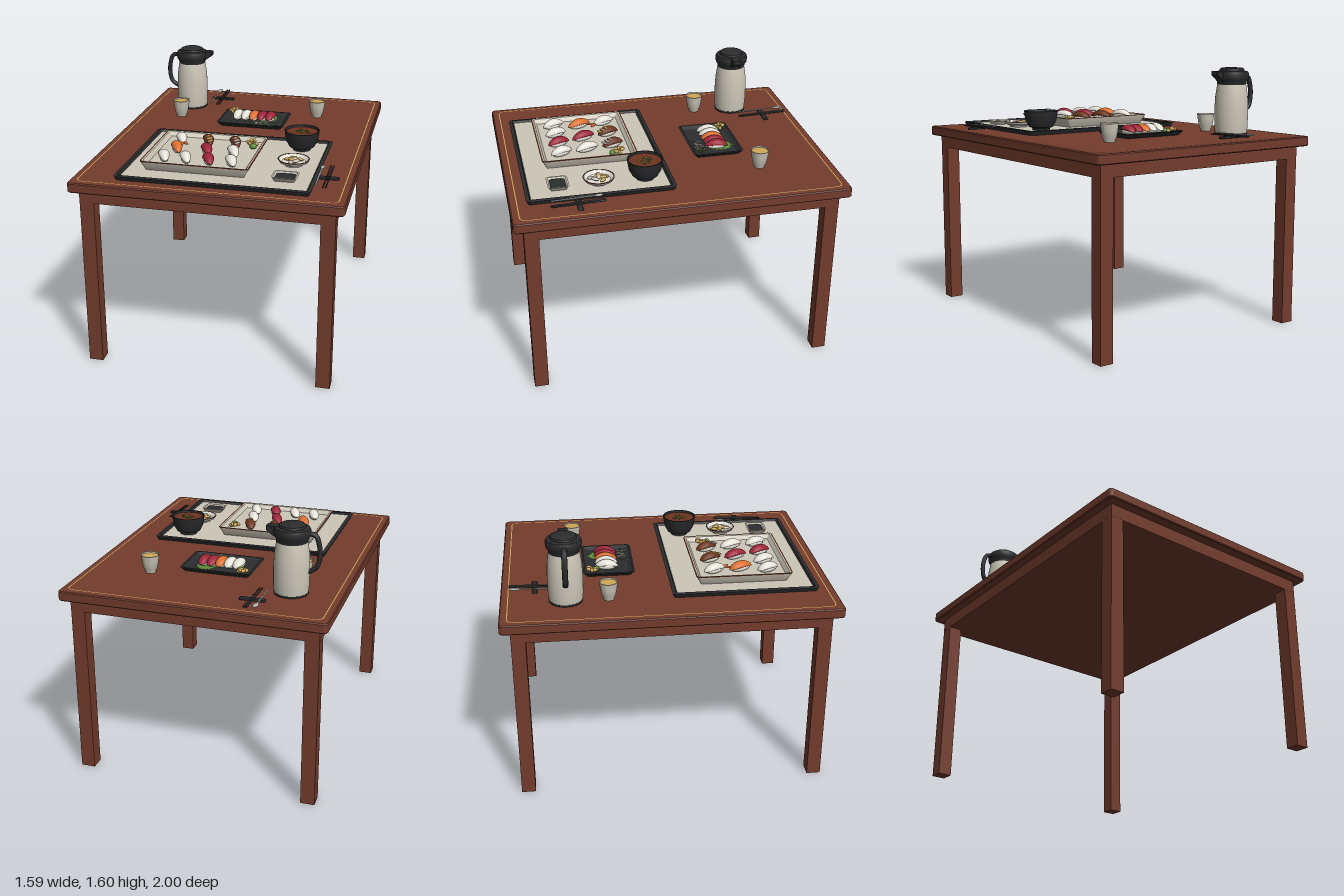
import * as THREE from 'three';
import { toCreasedNormals } from 'three/addons/utils/BufferGeometryUtils.js';
import { RoundedBoxGeometry } from 'three/addons/geometries/RoundedBoxGeometry.js';

const material = (name, color) => {
  const m = new THREE.MeshStandardMaterial({ color, side: THREE.DoubleSide });
  m.name = name;
  return m;
};
const wood = material('wood', 0x733c2d), black = material('black', 0x2b2c2e);
const cream = material('cream', 0xcdc7b8), white = material('white', 0xe4e1d8);
const orange = material('orange', 0xdc7030), red = material('red', 0x9c2438);
const brown = material('brown', 0x6e3520), gold = material('gold', 0xcfa858);
const green = material('green', 0x5c8c38), silver = material('silver', 0xb4b4b4);

const TOP = 1.185; // table surface height

function add(parent, name, geo, mat, x = 0, y = 0, z = 0, ry = 0) {
  const mesh = new THREE.Mesh(geo, mat);
  mesh.name = name;
  mesh.position.set(x, y, z);
  mesh.rotation.y = ry;
  parent.add(mesh);
  return mesh;
}
function group(parent, name, x = 0, y = 0, z = 0, ry = 0) {
  const g = new THREE.Group();
  g.name = name;
  g.position.set(x, y, z);
  g.rotation.y = ry;
  parent.add(g);
  return g;
}
const lathe = (pts, seg = 40) =>
  toCreasedNormals(new THREE.LatheGeometry(pts.map(p => new THREE.Vector2(...p)), seg), 0.6);
const ball = (w, h, d) => new THREE.SphereGeometry(0.5, 16, 10).scale(w, h, d);

// Rounded rectangles stacked along a profile of [inset, height] pairs
function loft(w, d, r, profile, caps = true) {
  const pos = [], idx = [], n = 24;
  for (const [inset, y] of profile) {
    const rr = Math.max(r - inset, 0.003), hx = w / 2 - inset - rr, hz = d / 2 - inset - rr;
    for (let j = 0; j < n; j++) {
      const q = Math.floor(j / 6), a = (q + (j % 6) / 5) * Math.PI / 2;
      const sx = q === 0 || q === 3 ? 1 : -1, sz = q < 2 ? -1 : 1;
      pos.push(sx * hx + rr * Math.cos(a), y, sz * hz - rr * Math.sin(a));
    }
  }
  const last = (profile.length - 1) * n;
  for (let o = 0; o < last; o += n) for (let j = 0; j < n; j++) {
    const k = (j + 1) % n;
    idx.push(o + j, o + k, o + n + k, o + j, o + n + k, o + n + j);
  }
  if (caps) {
    const c = pos.length / 3;
    pos.push(0, profile[0][1], 0, 0, profile.at(-1)[1], 0);
    for (let j = 0; j < n; j++) {
      const k = (j + 1) % n;
      idx.push(c, k, j, c + 1, last + j, last + k);
    }
  }
  const geo = new THREE.BufferGeometry();
  geo.setAttribute('position', new THREE.Float32BufferAttribute(pos, 3));
  geo.setIndex(idx);
  return toCreasedNormals(geo, 0.5);
}

// Arched slice that droops at both ends and tapers towards one
function topping(w, h, l) {
  const geo = new THREE.SphereGeometry(1, 20, 12), p = geo.attributes.position;
  for (let i = 0; i < p.count; i++) {
    const x = p.getX(i), y = p.getY(i), z = p.getZ(i);
    p.setXYZ(i, x * w / 2 * (1 - 0.15 * z), (y > 0 ? y : y * 0.3) * h - 0.016 * z * z, z * l / 2);
  }
  geo.computeVertexNormals();
  return geo;
}
function nigiri(parent, x, z, ry, mat, l = 0.15) {
  const g = group(parent, 'sushi', x, 0, z, ry);
  add(g, 'rice', ball(0.055, 0.045, l * 0.85), white, 0, 0.018, 0);
  add(g, 'topping', topping(0.066, 0.028, l), mat, 0, 0.033, 0);
  return g;
}
// Pickled ginger with a dab of wasabi
function garnish(parent, x, z, dx, dz) {
  const g = group(parent, 'garnish', x, 0, z);
  for (let i = 0; i < 6; i++) {
    const a = i * 1.05;
    add(g, 'ginger', ball(0.034, 0.025, 0.02), gold, 0.022 * Math.cos(a), 0.015 + 0.003 * i, 0.022 * Math.sin(a), a);
  }
  add(g, 'wasabi', ball(0.045, 0.035, 0.035), green, dx, 0.014, dz);
}
function cup(parent, x, z) {
  const g = group(parent, 'teaCup', x, TOP, z);
  add(g, 'cup', lathe([[0, 0], [0.032, 0], [0.034, 0.012], [0.043, 0.03], [0.05, 0.07], [0.056, 0.112],
    [0.051, 0.112], [0.048, 0.095]]), cream);
  add(g, 'tea', new THREE.CylinderGeometry(0.05, 0.05, 0.004, 32), gold, 0, 0.102, 0);
}
function cutlery(parent, x, z, restW, spoonX, spoonS) {
  const g = group(parent, 'cutlerySet', x, TOP, z);
  add(g, 'rest', new RoundedBoxGeometry(restW, 0.014, 0.032, 2, 0.005), black, 0.002, 0.007, 0);
  for (const s of [-1, 1]) {
    const stick = add(g, 'chopstick', new THREE.CylinderGeometry(0.006, 0.004, 0.32, 8).rotateX(-Math.PI / 2), black, s * 0.008, 0.017, 0.005);
    stick.rotation.x = 0.03;
  }
  const spoon = group(g, 'spoon', spoonX, 0.022, 0);
  spoon.rotation.x = 0.03;
  add(spoon, 'spoonBowl', ball(0.03 * spoonS, 0.012, 0.065 * spoonS), silver, 0, 0, -0.12);
  add(spoon, 'spoonHandle', new RoundedBoxGeometry(0.009, 0.006, 0.26, 1, 0.002), silver, 0, 0, 0.03);
}

function buildTable(root) {
  const t = group(root, 'table');
  add(t, 'tableTop', loft(1.594, 2, 0.025, [[0.006, 1.125], [0, 1.131], [0, 1.179], [0.006, TOP]]), wood);
  add(t, 'apron', new THREE.BoxGeometry(1.49, 0.08, 1.88), wood, 0, 1.085, 0);
  for (const x of [-1, 1]) for (const z of [-1, 1])
    add(t, 'leg', new THREE.BoxGeometry(0.085, 1.05, 0.085), wood, x * 0.702, 0.525, z * 0.897);
  add(t, 'inlayLine', loft(1.518, 1.914, 0.04, [[0, TOP + 0.001], [0.006, TOP + 0.001]], false), gold);
}

function buildFlask(root) {
  const f = group(root, 'flask', -0.495, TOP, -0.612);
  add(f, 'base', new THREE.CylinderGeometry(0.102, 0.1, 0.012, 40), black, 0, 0.006, 0);
  add(f, 'body', lathe([[0, 0.012], [0.1, 0.012], [0.104, 0.05], [0.105, 0.16], [0.101, 0.24], [0.092, 0.3], [0.088, 0.32], [0, 0.32]]), cream);
  add(f, 'lid', lathe([[0, 0.312], [0.09, 0.312], [0.092, 0.33], [0.103, 0.345], [0.107, 0.375], [0.1, 0.392],
    [0.078, 0.397], [0.074, 0.41], [0.062, 0.416], [0, 0.418]]), black);
  // Spout: a tapering lip beside the lid
  const lip = new THREE.Shape([[0.06, 0.325], [0.105, 0.34], [0.15, 0.372], [0.15, 0.392], [0.06, 0.393]].map(p => new THREE.Vector2(...p)));
  add(f, 'spout', new THREE.ExtrudeGeometry(lip, { depth: 0.05, bevelSize: 0.004, bevelThickness: 0.004, bevelSegments: 1 }), black, -0.006, 0, -0.025);
  const path = new THREE.CatmullRomCurve3([[-0.09, 0.365], [-0.135, 0.355], [-0.155, 0.31], [-0.162, 0.24],
    [-0.145, 0.17], [-0.095, 0.135]].map(([x, y]) => new THREE.Vector3(x, y, 0)));
  add(f, 'handle', new THREE.TubeGeometry(path, 32, 0.014, 10).scale(1, 1, 1.2), black);
}

function buildSmallPlate(root) {
  const p = group(root, 'blackPlate', 0.01, TOP, -0.338);
  add(p, 'plate', loft(0.45, 0.32, 0.025, [[0.03, 0], [0, 0.028], [0.012, 0.03], [0.035, 0.012]]), black);
  const food = group(p, 'food', 0, 0.012, 0);
  // Leaf with a toothed edge
  const leaf = new THREE.Shape();
  for (let i = 0; i < 36; i++) {
    const a = i * Math.PI / 18, r = i % 2 ? 0.075 : 0.098;
    leaf[i ? 'lineTo' : 'moveTo'](0.8 * r * Math.cos(a), r * Math.sin(a));
  }
  add(food, 'leaf', new THREE.ShapeGeometry(leaf).rotateX(-Math.PI / 2), green, 0.085, 0.006, -0.035);
  [white, white, orange, red, red].forEach((m, i) => nigiri(food, -0.112 + i * 0.055, -0.01, -0.08, m, 0.145));
  garnish(food, -0.16, -0.105, 0.022, 0.03);
  // Shredded radish
  let seed = 7;
  const rnd = () => (seed = (seed * 16807) % 2147483647) / 2147483647;
  for (let i = 0; i < 26; i++)
    add(food, 'shred', new THREE.BoxGeometry(0.05 + 0.03 * rnd(), 0.003, 0.003), i % 4 ? white : green,
      -0.01 + 0.17 * rnd(), 0.006 + 0.01 * rnd(), 0.07 + 0.045 * rnd(), rnd() * Math.PI);
}

function buildTray(root) {
  const t = group(root, 'tray', 0.022, TOP, 0.459);
  add(t, 'trayRim', loft(1.145, 0.886, 0.025, [[0.012, 0], [0, 0.025], [0.006, 0.028], [0.022, 0.028], [0.03, 0.012]]), black);
  add(t, 'trayMat', loft(1.084, 0.825, 0.01, [[0, 0.012], [0, 0.016]]), cream);

  // Sushi plate
  const p = group(root, 'sushiPlate', -0.112, TOP + 0.016, 0.469);
  add(p, 'plate', loft(0.645, 0.586, 0.025, [[0.03, 0], [0.002, 0.05], [0, 0.058], [0.014, 0.058], [0.032, 0.032]]), cream);
  add(p, 'plateRim', loft(0.649, 0.59, 0.027, [[0, 0.056], [0, 0.06], [0.008, 0.06]], false), brown);
  const food = group(p, 'food', 0, 0.032, 0);
  const rows = [[0.302, [[-0.31, white], [-0.14, brown], [0.03, brown]]],
    [0.466, [[-0.294, orange], [-0.108, red], [0.056, white]]],
    [0.63, [[-0.325, white], [-0.193, white], [-0.055, red], [0.082, white]]]];
  rows.forEach(([z, list], r) => list.forEach(([x, m], i) => {
    const s = nigiri(food, x + 0.112, z - 0.469, 0.42, m, r === 1 ? 0.16 : 0.148);
    if (r) return;
    if (i === 0) { // prawn tail
      for (const e of [-1, 1]) add(s, 'tail', ball(0.022, 0.012, 0.055), orange, e * 0.011, 0.02, 0.085, e * 0.35);
    } else for (let k = 0; k < 3; k++) // glaze strips and rice showing
      add(s, 'strip', ball(0.05, 0.014, 0.014), i === 1 ? gold : cream, 0, 0.054 - 0.007 * k, 0.018 + 0.021 * k, 0.3);
  }));
  garnish(food, 0.242, -0.19, 0.015, 0.045);

  // Soup bowl
  const b = group(root, 'soupBowl', 0.42, TOP + 0.016, 0.175);
  add(b, 'bowl', lathe([[0, 0], [0.055, 0], [0.057, 0.014], [0.078, 0.022], [0.098, 0.06], [0.108, 0.124], [0.1, 0.124], [0.096, 0.1]]), black);
  add(b, 'soup', new THREE.CylinderGeometry(0.099, 0.097, 0.006, 40), brown, 0, 0.108, 0);
  for (let i = 0; i < 9; i++) {
    const a = i * 2.4, r = 0.014 * Math.sqrt(i);
    add(b, 'soupGarnish', new RoundedBoxGeometry(0.024, 0.006, 0.008, 1, 0.002), i % 3 ? green : gold, r * Math.cos(a), 0.113, r * Math.sin(a), a);
  }

  // Pickle dish
  const d = group(root, 'pickleDish', 0.42, TOP + 0.016, 0.455);
  add(d, 'dish', lathe([[0, 0], [0.055, 0], [0.058, 0.008], [0.085, 0.02], [0.094, 0.036], [0.088, 0.036], [0.07, 0.02], [0, 0.014]]), white);
  add(d, 'dishRim', new THREE.TorusGeometry(0.092, 0.003, 6, 40).rotateX(Math.PI / 2), brown, 0, 0.036, 0);
  for (let i = 0; i < 8; i++) {
    const a = i * 2.4, r = 0.017 * Math.sqrt(i);
    add(d, 'pickle', ball(0.055, 0.018, 0.026), i % 3 ? gold : cream, r * Math.cos(a), 0.036 - 0.0015 * i, r * Math.sin(a), a);
  }

  // Sauce dish
  const s = group(root, 'sauceDish', 0.416, TOP + 0.016, 0.7);
  add(s, 'dish', loft(0.15, 0.128, 0.025, [[0.018, 0], [0, 0.026], [0.01, 0.026], [0.024, 0.012]]), cream);
  add(s, 'sauce', loft(0.116, 0.094, 0.025, [[0.002, 0.012], [0, 0.018]]), black);
}

export function createModel() {
  const root = new THREE.Group();
  root.name = 'sushiTable';
  buildTable(root);
  buildFlask(root);
  buildSmallPlate(root);
  buildTray(root);
  cup(root, -0.505, -0.36);
  cup(root, 0.4, -0.545);
  cutlery(root, 0.65, 0.605, 0.12, -0.052, 0.8);
  cutlery(root, -0.32, -0.795, 0.155, -0.052, 1.1);
  return root;
}
